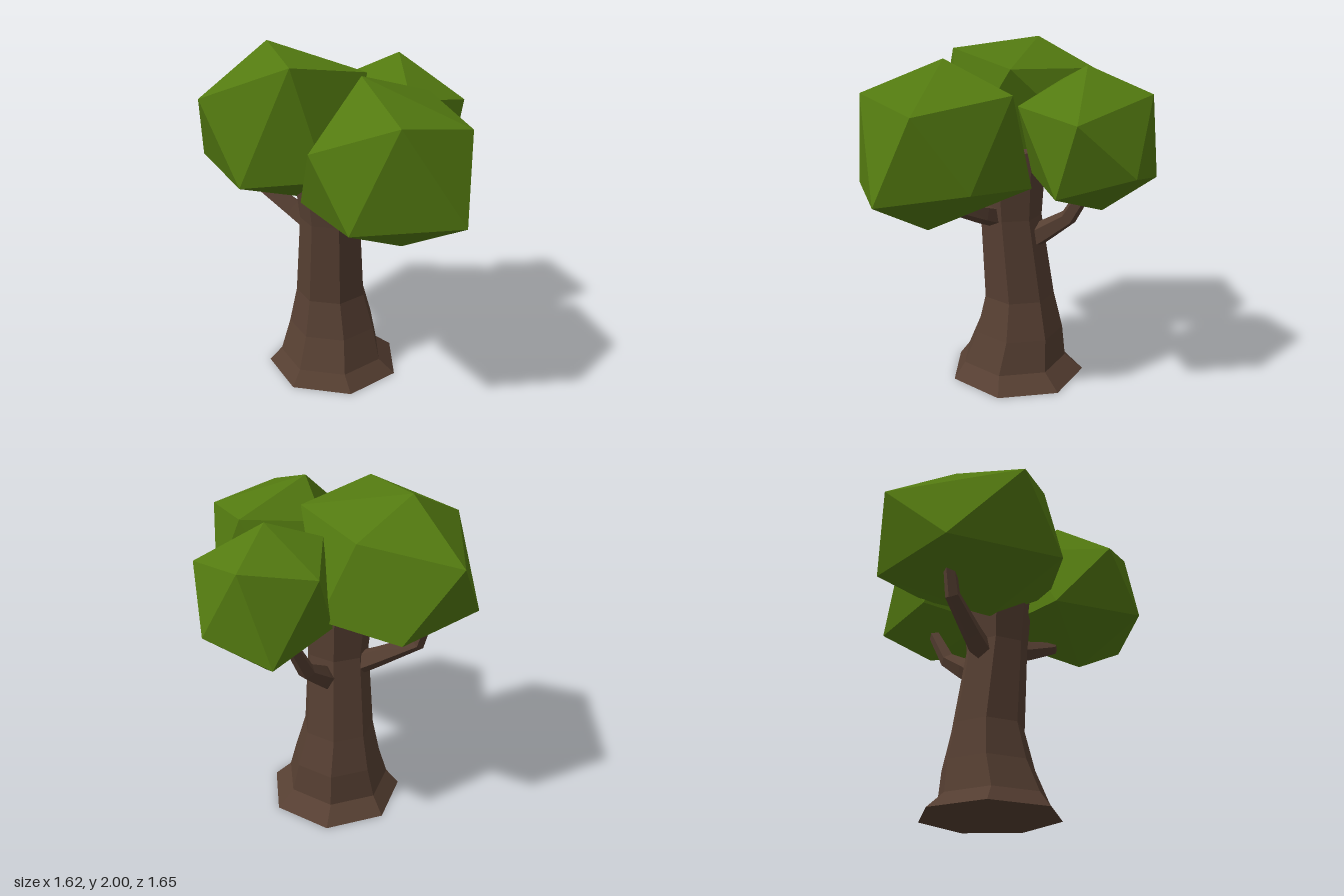
import * as THREE from 'three';
import { ConvexGeometry } from 'three/addons/geometries/ConvexGeometry.js';

const V = (x, y, z) => new THREE.Vector3(x, y, z);
const UP = V(0, 1, 0);

// Faceted, capped loft through rings given as [x, y, z, radius]; level keeps the rings horizontal
function loft(sections, sides, level) {
  const centres = sections.map(([x, y, z]) => V(x, y, z));
  const rings = sections.map((s, i) => {
    const next = centres[Math.min(i + 1, centres.length - 1)];
    const dir = next.clone().sub(centres[Math.max(i - 1, 0)]).normalize();
    const turn = new THREE.Quaternion().setFromUnitVectors(UP, level ? UP : dir);
    return Array.from({ length: sides }, (_, k) => {
      const a = Math.PI + (k / sides) * Math.PI * 2;
      return V(Math.sin(a) * s[3], 0, Math.cos(a) * s[3]).applyQuaternion(turn).add(centres[i]);
    });
  });
  const points = [];
  const last = rings.length - 1;
  for (let k = 0; k < sides; k++) {
    const n = (k + 1) % sides;
    for (let i = 0; i < last; i++) {
      const a = rings[i], b = rings[i + 1];
      points.push(a[k], a[n], b[n], a[k], b[n], b[k]);
    }
    points.push(centres[0], rings[0][n], rings[0][k]);
    points.push(centres[last], rings[last][k], rings[last][n]);
  }
  const geometry = new THREE.BufferGeometry().setFromPoints(points);
  geometry.computeVertexNormals();
  return geometry;
}

export function createModel() {
  const tree = new THREE.Group();
  tree.name = 'tree';
  const bark = new THREE.MeshStandardMaterial({ color: 0x563f32 });
  bark.name = 'bark brown';
  const leaf = new THREE.MeshStandardMaterial({ color: 0x537a10 });
  leaf.name = 'leaf green';

  const add = (name, geometry, material) => {
    const mesh = new THREE.Mesh(geometry, material);
    mesh.name = name;
    tree.add(mesh);
  };

  // Seven-sided trunk with a flared foot
  add('trunk', loft([
    [0, 0, -0.05, 0.41],
    [-0.01, 0.09, -0.03, 0.32],
    [-0.01, 0.28, -0.06, 0.27],
    [-0.02, 0.5, -0.06, 0.215],
    [-0.01, 1.0, -0.01, 0.185],
    [-0.02, 1.4, 0, 0.22],
  ], 7, true), bark);

  // Bent branches, one into each leaf clump
  const branches = {
    rightBranch: [[-0.1, 0.91, -0.05, 0.075], [-0.26, 1.0, -0.09, 0.06], [-0.48, 1.13, -0.14, 0.045], [-0.55, 1.38, -0.15, 0.035]],
    frontBranch: [[0.06, 1.0, 0.04, 0.07], [0.17, 1.05, 0.14, 0.06], [0.29, 1.11, 0.26, 0.045], [0.34, 1.32, 0.32, 0.035]],
    backBranch: [[0.01, 0.83, -0.1, 0.075], [0.06, 0.92, -0.22, 0.065], [0.12, 1.02, -0.35, 0.05], [0.2, 1.3, -0.5, 0.035]],
  };
  for (const [name, path] of Object.entries(branches)) add(name, loft(path, 5, false), bark);

  // Leaf clumps: uneven twenty-sided hulls (top, upper ring, lower ring, bottom)
  const clumps = {
    rightLeaves: [
      [-0.42, 2.0, -0.16],
      [-0.16, 1.95, 0.33], [-0.67, 1.76, 0.32], [-0.7, 1.73, -0.49], [-0.16, 1.84, -0.49], [0.19, 1.87, -0.02],
      [-0.81, 1.32, -0.08], [-0.41, 1.32, 0.47], [0.03, 1.33, 0.3], [0.03, 1.41, -0.49], [-0.41, 1.36, -0.63],
      [-0.21, 1.12, 0],
    ],
    frontLeaves: [
      [0.22, 1.93, 0.34],
      [0.48, 1.78, 0.74], [0.8, 1.71, 0.43], [0.53, 1.78, -0.05], [0.09, 1.72, 0.14], [0.02, 1.61, 0.69],
      [0.25, 1.25, 0.82], [0.81, 1.26, 0.63], [0.74, 1.31, 0.15], [0.2, 1.21, -0.14], [-0.1, 1.23, 0.37],
      [0.46, 1.04, 0.41],
    ],
    backLeaves: [
      [0.31, 1.91, -0.43],
      [0, 1.71, -0.66], [0.38, 1.77, -0.77], [0.71, 1.66, -0.37], [0.43, 1.71, -0.07], [0.03, 1.8, -0.3],
      [0.21, 1.29, -0.83], [0.6, 1.37, -0.68], [0.65, 1.27, -0.27], [0.2, 1.3, -0.14], [-0.04, 1.36, -0.47],
      [0.3, 1.12, -0.53],
    ],
  };
  for (const [name, corners] of Object.entries(clumps)) {
    add(name, new ConvexGeometry(corners.map((c) => V(...c))), leaf);
  }
  return tree;
}
